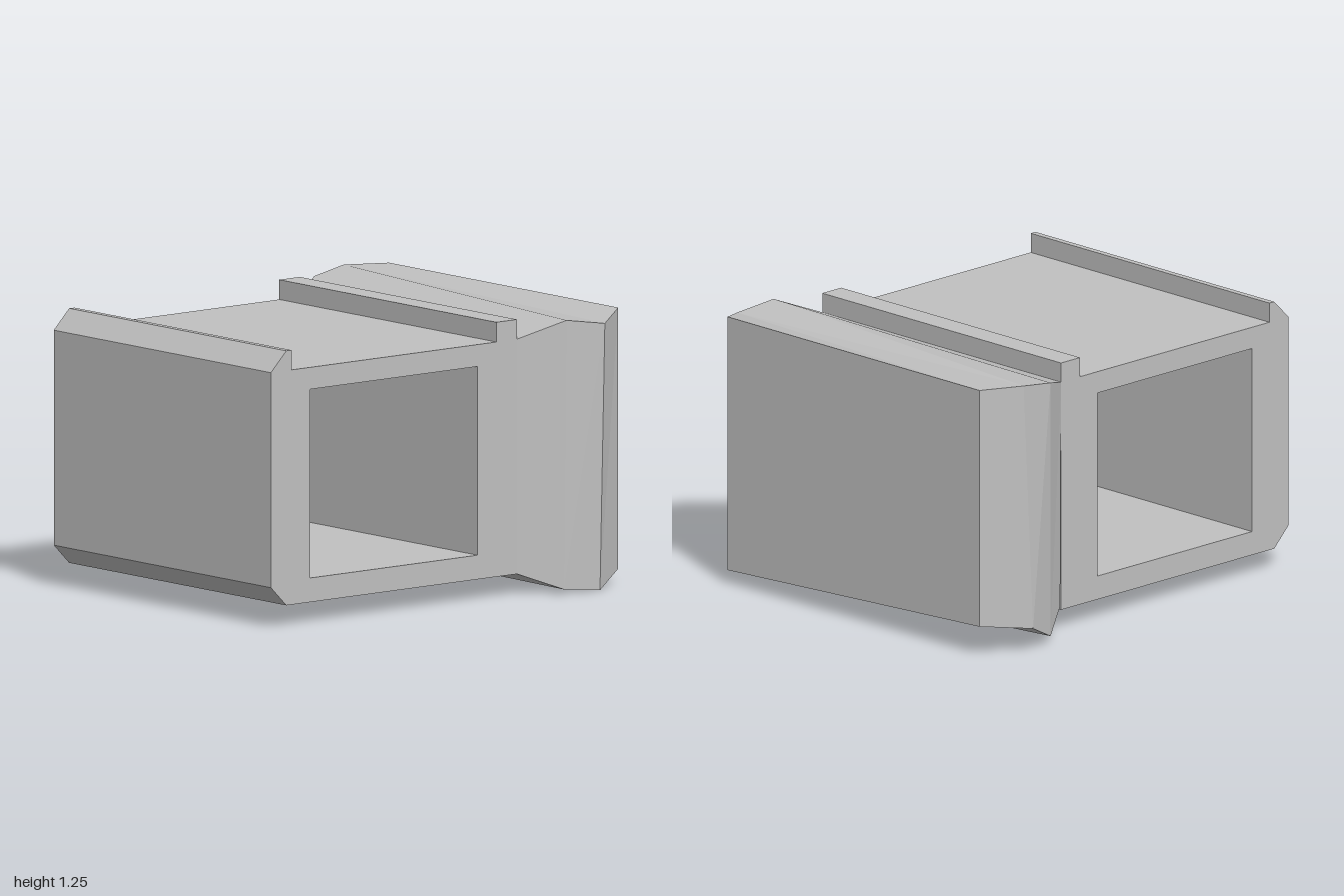
import * as THREE from 'three';

const gray = new THREE.MeshStandardMaterial({ color: 0xc0c0c0, flatShading: true });
gray.name = 'plain gray';

// Side profile given as [z, y] points, swept across the width.
function makeFrame() {
  const outline = [
    [1, 0.19], [0.91, 0.1], [-0.44, 0.1], [-0.44, 1.26], [-0.32, 1.26], [-0.32, 1.17],
    [0.88, 1.17], [0.88, 1.26], [0.91, 1.26], [1, 1.17],
  ];
  const opening = [[0.77, 0.21], [0.77, 1.07], [-0.21, 1.07], [-0.21, 0.21]];
  const toPoints = (list) => list.map(([z, y]) => new THREE.Vector2(-z, y));
  const shape = new THREE.Shape(toPoints(outline));
  shape.holes.push(new THREE.Path(toPoints(opening)));
  const geometry = new THREE.ExtrudeGeometry(shape, { depth: 1.525, bevelEnabled: false });
  geometry.rotateY(Math.PI / 2).translate(-0.755, 0, 0);
  return geometry;
}

// Joins four-cornered sections, ordered front to back, and caps both ends.
function loft(sections) {
  const index = [];
  for (let i = 0; i < sections.length - 1; i++) {
    for (let j = 0; j < 4; j++) {
      const a = i * 4 + j, b = i * 4 + (j + 1) % 4;
      index.push(a, a + 4, b + 4, a, b + 4, b);
    }
  }
  const e = (sections.length - 1) * 4;
  index.push(0, 1, 2, 0, 2, 3, e, e + 2, e + 1, e, e + 3, e + 2);
  const geometry = new THREE.BufferGeometry();
  geometry.setAttribute('position', new THREE.Float32BufferAttribute(sections.flat(2), 3));
  geometry.setIndex(index);
  const flat = geometry.toNonIndexed();
  flat.computeVertexNormals();
  return flat;
}

export function createModel() {
  const group = new THREE.Group();
  const add = (name, geometry) => {
    const mesh = new THREE.Mesh(geometry, gray);
    mesh.name = name;
    group.add(mesh);
  };

  // Open box with a lip at the front and a rib near the back
  add('frame', makeFrame());

  // Slightly uneven flared block; corners: low -x, low +x, high +x, high -x
  add('flaredBack', loft([
    [[-0.79, 0.135, -0.48], [0.77, 0.1, -0.44], [0.77, 1.17, -0.44], [-0.755, 1.17, -0.44]],
    [[-0.87, 0.04, -0.62], [0.885, 0.025, -0.62], [0.885, 1.25, -0.635], [-0.87, 1.23, -0.62]],
    [[-0.92, 0.12, -0.78], [0.91, 0.005, -0.81], [0.92, 1.22, -0.83], [-0.89, 1.26, -0.81]],
    [[-0.8, 0.15, -1], [0.81, 0.07, -1], [0.81, 1.26, -1], [-0.8, 1.26, -1]],
  ]));
  return group;
}
